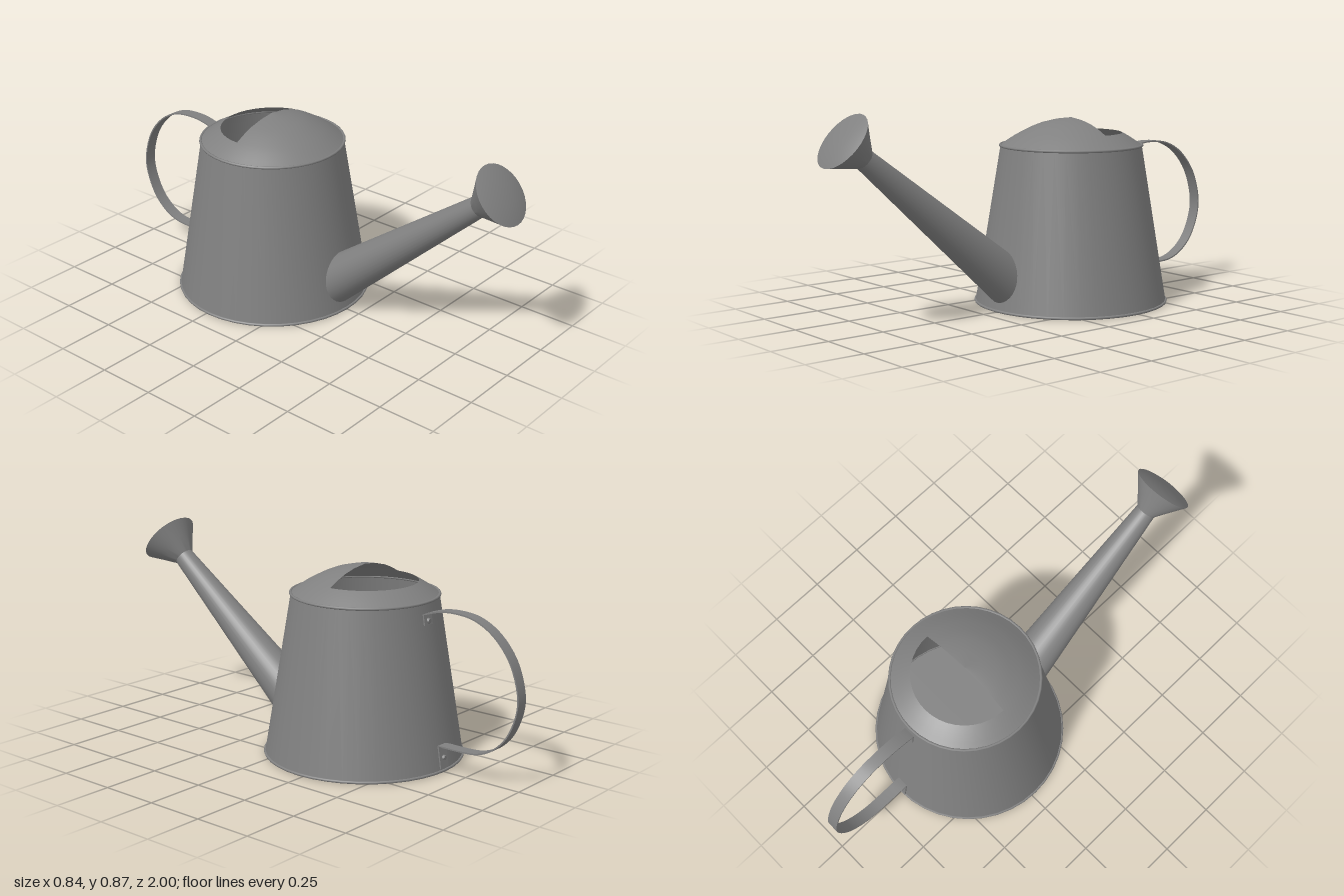
import * as THREE from 'three';
import { toCreasedNormals } from 'three/addons/utils/BufferGeometryUtils.js';

const AXIS_Z = -0.23;      // body axis
const SEG = 40;
const wallRadius = (y) => 0.415 - 0.162 * y;
const pts = (list) => list.map(([x, y]) => new THREE.Vector2(x, y));

export function createModel() {
  const group = new THREE.Group();
  const metal = new THREE.MeshStandardMaterial({ color: 0x808080, side: THREE.DoubleSide });
  metal.name = 'grey metal';

  const add = (name, geometry, parent = group) => {
    const mesh = new THREE.Mesh(geometry, metal);
    mesh.name = name;
    parent.add(mesh);
    return mesh;
  };

  // Tapered body with base and rolled rims
  const body = new THREE.Group();
  body.name = 'body';
  body.position.z = AXIS_Z;
  group.add(body);
  const shell = new THREE.LatheGeometry(pts([[0, 0.002], [0.415, 0.002], [wallRadius(0.68), 0.68]]), SEG);
  add('bodyShell', toCreasedNormals(shell, 0.6), body);
  const rim = (name, r, y, t) => {
    const g = new THREE.TorusGeometry(r, t, 8, SEG);
    g.rotateX(Math.PI / 2);
    add(name, g, body).position.y = y;
  };
  rim('baseRim', 0.415, 0.006, 0.006);
  rim('topRim', 0.306, 0.681, 0.006);

  // Domed lid: full dome in front, only the outer ring behind the opening
  const ring = [[0.304, 0.682], [0.28, 0.698], [0.25, 0.718], [0.22, 0.735]];
  const dome = [...ring, [0.175, 0.758], [0.13, 0.776], [0.07, 0.791], [0, 0.8]];
  add('lidFront', new THREE.LatheGeometry(pts(dome), SEG / 2, -Math.PI / 2, Math.PI), body);
  add('lidBackRing', new THREE.LatheGeometry(pts(ring), SEG / 2, Math.PI / 2, Math.PI), body);

  // Spout: tapered tube whose lower ring is trimmed to the body wall
  const tip = new THREE.Vector3(0, 0.69, 0.825);
  const dir = new THREE.Vector3(0, 0.627, 0.779).normalize();
  const tilt = Math.atan2(dir.z, dir.y);
  const length = 1.0;
  const spout = new THREE.CylinderGeometry(0.044, 0.1065, length, 32, 1, true);
  spout.rotateX(tilt);
  const mid = tip.clone().addScaledVector(dir, -length / 2);
  spout.translate(mid.x, mid.y, mid.z);
  const pos = spout.attributes.position;
  const a = new THREE.Vector3(), b = new THREE.Vector3(), p = new THREE.Vector3();
  for (let i = 0; i <= 32; i++) {
    a.fromBufferAttribute(pos, i + 33);
    b.fromBufferAttribute(pos, i);
    let lo = 0, hi = 1;
    for (let k = 0; k < 24; k++) {
      const t = (lo + hi) / 2;
      p.lerpVectors(a, b, t);
      if (Math.hypot(p.x, p.z - AXIS_Z) < wallRadius(p.y)) lo = t; else hi = t;
    }
    pos.setXYZ(i + 33, p.x, p.y, p.z);
  }
  add('spout', spout);

  // Flared sprinkler head with a slightly domed face
  const rose = new THREE.LatheGeometry(
    pts([[0.044, 0], [0.085, 0.06], [0.129, 0.122], [0.1, 0.13], [0.055, 0.136], [0, 0.139]]), 32);
  const head = add('sprinklerHead', toCreasedNormals(rose, 0.7));
  head.rotation.x = tilt;
  head.position.copy(tip);

  // Handle: thin strap swept along a loop, with end tabs on the wall
  const wallZ = (y) => AXIS_Z - wallRadius(y) - 0.004;
  const loop = new THREE.SplineCurve(pts([
    [wallZ(0.64), 0.64], [-0.62, 0.662], [-0.7, 0.668], [-0.79, 0.655], [-0.88, 0.605], [-0.955, 0.515],
    [-0.994, 0.4], [-0.99, 0.31], [-0.95, 0.215], [-0.89, 0.153], [-0.82, 0.12], [-0.74, 0.112],
    [wallZ(0.112), 0.112],
  ])).getPoints(48);
  const path = [new THREE.Vector2(wallZ(0.595), 0.595), ...loop, new THREE.Vector2(wallZ(0.018), 0.018)];
  const side = (s) => path.map((q, i) => {
    const t = path[Math.min(i + 1, path.length - 1)].clone().sub(path[Math.max(i - 1, 0)]).normalize();
    return new THREE.Vector2(q.x - t.y * s, q.y + t.x * s);
  });
  const outline = new THREE.Shape([...side(0.003), ...side(-0.003).reverse()]);
  const strap = new THREE.ExtrudeGeometry(outline, { depth: 0.052, bevelEnabled: false });
  strap.rotateY(-Math.PI / 2);
  strap.translate(0.026, 0, 0);
  add('handle', toCreasedNormals(strap, 0.6));

  // Rivets through the handle tabs
  for (const [name, y] of [['upperRivet', 0.612], ['lowerRivet', 0.06]]) {
    const g = new THREE.CylinderGeometry(0.009, 0.012, 0.01, 12);
    g.rotateX(-Math.PI / 2);
    add(name, g).position.set(0, y, wallZ(y) - 0.006);
  }
  return group;
}
